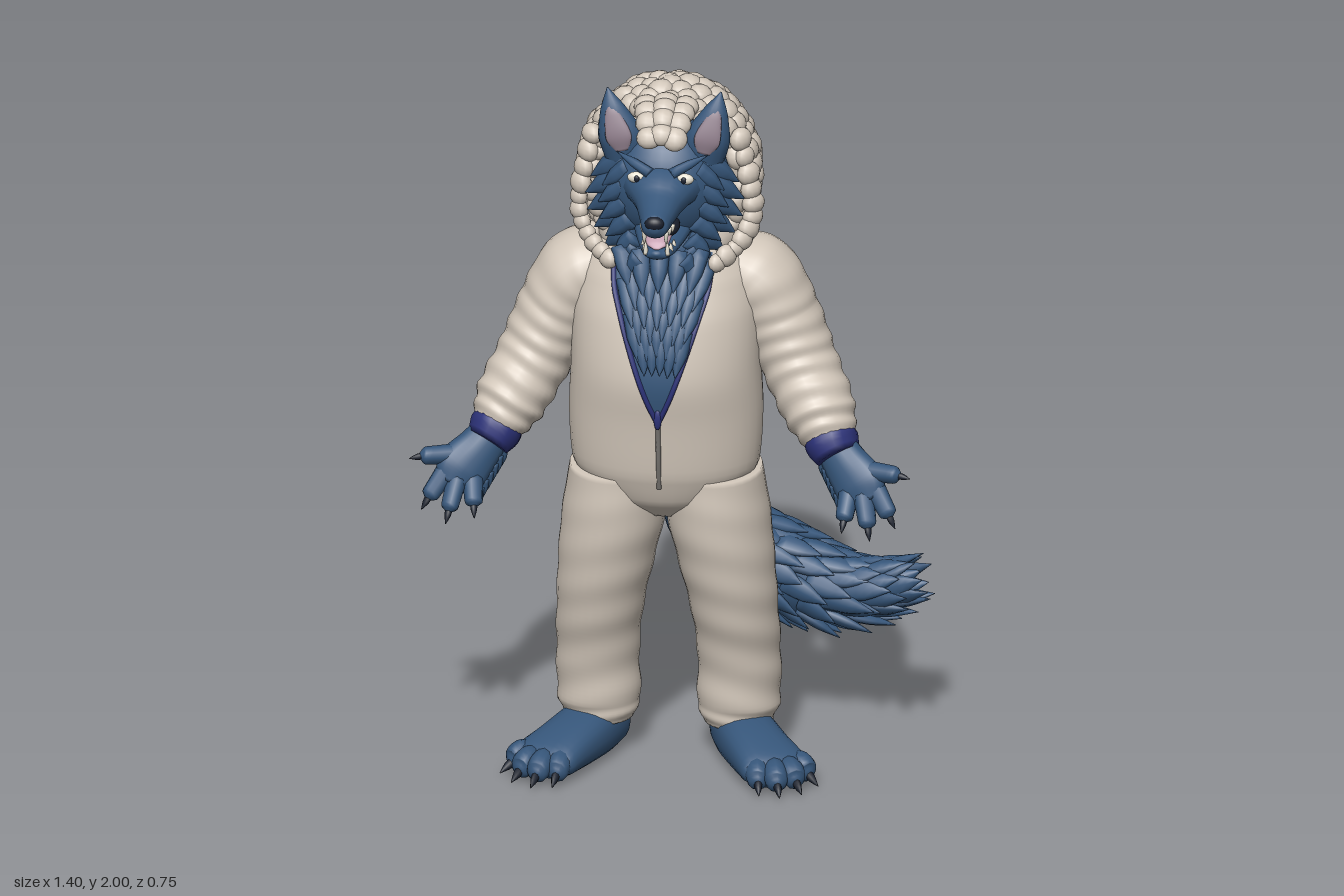
import * as THREE from 'three';
import { mergeGeometries } from 'three/addons/utils/BufferGeometryUtils.js';

const V = (x, y, z) => new THREE.Vector3(x, y, z);
const mat = (name, color) => {
  const m = new THREE.MeshStandardMaterial({ color });
  m.name = name;
  return m;
};
let seed = 7;
const rnd = () => (seed = (seed * 16807) % 2147483647) / 2147483647;

// Frame on a curve: u follows ref, v completes it
function frame(curve, t, ref, level) {
  const p = curve.getPoint(t);
  const d = level ? V(0, 1, 0) : curve.getTangent(t);
  const u = ref.clone().addScaledVector(d, -ref.dot(d)).normalize();
  return { p, u, v: d.clone().cross(u), d };
}
const superAng = (c, n) => Math.sign(c) * Math.abs(c) ** (2 / n);

// Skin an elliptical section along a smooth path; radii are [along ref, across]
function sweep(pts, radii, o = {}) {
  const { ref = V(0, 0, 1), sides = 16, steps = 20, level = false, n = 2, fold = () => 1 } = o;
  const path = new THREE.CatmullRomCurve3(pts);
  const rad = new THREE.CatmullRomCurve3(radii.map(r => V(r[0], r[1], 0)));
  const pos = [], idx = [];
  for (let i = 0; i <= steps; i++) {
    const t = i / steps, f = frame(path, t, ref, level), r = rad.getPoint(t);
    for (let j = 0; j < sides; j++) {
      const a = (j / sides) * Math.PI * 2, k = fold(t, a);
      const q = f.p.clone().addScaledVector(f.u, superAng(Math.cos(a), n) * r.x * k)
        .addScaledVector(f.v, superAng(Math.sin(a), n) * r.y * k);
      pos.push(q.x, Math.max(q.y, 0), q.z);
      if (i < steps) {
        const A = i * sides + j, B = i * sides + (j + 1) % sides;
        idx.push(A, B, A + sides, B, B + sides, A + sides);
      }
    }
  }
  const c0 = pos.length / 3, last = steps * sides;
  for (const p of [path.getPoint(0), path.getPoint(1)]) pos.push(p.x, p.y, p.z);
  for (let j = 0; j < sides; j++) {
    const k = (j + 1) % sides;
    idx.push(c0, k, j, c0 + 1, last + j, last + k);
  }
  const g = new THREE.BufferGeometry();
  g.setAttribute('position', new THREE.Float32BufferAttribute(pos, 3));
  g.setIndex(idx);
  g.computeVertexNormals();
  return g;
}
const spike = (a, b, thin, wide, ref = V(0, 0, 1)) => sweep([a, a.clone().lerp(b, 0.5), b],
  [[thin, wide], [thin * 0.85, wide * 0.8], [0.001, 0.001]], { ref, sides: 8, steps: 6 });
const ball = (p, rx, ry, rz, w = 20, h = 14) =>
  new THREE.SphereGeometry(1, w, h).deleteAttribute('uv').scale(rx, ry, rz).translate(p.x, p.y, p.z);

// Torso sections: y, half width, centre z, half depth
const TORSO = [[0.75, 0.1, 0.05, 0.09], [0.81, 0.2, 0.055, 0.155], [0.9, 0.258, 0.06, 0.185],
  [1.05, 0.268, 0.055, 0.208], [1.2, 0.262, 0.055, 0.224], [1.35, 0.262, 0.03, 0.218],
  [1.45, 0.25, 0.0, 0.203], [1.52, 0.21, -0.015, 0.18], [1.58, 0.12, 0, 0.12]];
const torsoPath = new THREE.CatmullRomCurve3(TORSO.map(s => V(0, s[0], s[2])));
const torsoRad = new THREE.CatmullRomCurve3(TORSO.map(s => V(s[1], s[3], 0)));
function onTorso(x, y, lift = 0) {
  let lo = 0, hi = 1;
  for (let i = 0; i < 24; i++) {
    const m = (lo + hi) / 2;
    if (torsoPath.getPoint(m).y < y) lo = m; else hi = m;
  }
  const p = torsoPath.getPoint(lo), r = torsoRad.getPoint(lo);
  return V(x, y, p.z + r.y * Math.sqrt(Math.max(0, 1 - (x / r.x) ** 2)) + lift);
}
const neckWidth = y => 0.135 * Math.min(1, Math.max(0, (y - 1.08) / 0.38)) ** 0.85;

export function createModel() {
  const M = {
    suit: mat('cream suit', 0xd3c8bb), fur: mat('blue fur', 0x36567a),
    trim: mat('navy trim', 0x2c3278), dark: mat('dark claw', 0x1b212e),
    ear: mat('inner ear', 0x8f7e8b), tongue: mat('tongue pink', 0xc49fb0),
    ivory: mat('ivory', 0xe6e0d0), zip: mat('zip grey', 0x7b7874),
  };
  const root = new THREE.Group(), body = new THREE.Group();
  root.name = 'hoodedWolf';
  body.name = 'body';
  body.position.x = -0.025;
  root.add(body);
  const add = (name, geo, m) => {
    const mesh = new THREE.Mesh(Array.isArray(geo) ? mergeGeometries(geo) : geo, m);
    mesh.name = name;
    body.add(mesh);
  };

  // Suit torso
  add('torso', sweep(TORSO.map(s => V(0, s[0], s[2])), TORSO.map(s => [s[1], s[3]]),
    { ref: V(1, 0, 0), level: true, sides: 40, steps: 48 }), M.suit);

  // Open neckline fur, following the chest
  const pos = [], idx = [], R = 16, C = 8;
  for (let i = 0; i <= R; i++) for (let j = 0; j <= C; j++) {
    const y = 1.08 + 0.45 * i / R, p = onTorso(neckWidth(y) * (j / C * 2 - 1), y, 0.005);
    pos.push(p.x, p.y, p.z);
    if (i < R && j < C) {
      const a = i * (C + 1) + j, b = a + C + 1;
      idx.push(a, a + 1, b, a + 1, b + 1, b);
    }
  }
  const chest = new THREE.BufferGeometry();
  chest.setAttribute('position', new THREE.Float32BufferAttribute(pos, 3));
  chest.setIndex(idx);
  chest.computeVertexNormals();
  add('chestFur', chest, M.fur);
  const tufts = [ball(V(0, 1.53, 0.07), 0.135, 0.11, 0.105)];
  for (let r = 0; r < 6; r++) for (let k = -2; k <= 2; k++) {
    const y = 1.55 - r * 0.042, w = (neckWidth(y - 0.07) - 0.01) / 2.3;
    const x = (k + (r % 2 ? 0.35 : -0.1)) * w;
    const a = onTorso(x, Math.min(y, 1.5)), b = onTorso(x * 0.75, y - 0.1 - 0.02 * rnd(), 0.022);
    a.y = y;
    tufts.push(spike(a, b, 0.018, 0.03));
  }
  add('chestTufts', tufts, M.fur);

  // Neckline trim and zip
  for (const s of [1, -1]) {
    const line = [];
    for (let y = 1.09; y < 1.5; y += 0.05) line.push(onTorso(s * neckWidth(y), y, 0.004));
    add('necklineTrim', new THREE.TubeGeometry(new THREE.CatmullRomCurve3(line), 24, 0.008, 6), M.trim);
  }
  const zipLine = [0.87, 0.95, 1.03, 1.1].map(y => onTorso(0, y));
  add('zip', new THREE.TubeGeometry(new THREE.CatmullRomCurve3(zipLine), 16, 0.007, 6), M.zip);
  add('zipPull', ball(onTorso(0, 1.09, 0.008), 0.011, 0.03, 0.008, 10, 8), M.trim);

  for (const s of [1, -1]) {
    const side = s > 0 ? 'left' : 'right', P = (x, y, z) => V(s * x, y, z);

    // Sleeve, gathered toward the wrist
    add(side + 'Sleeve', sweep([P(0.15, 1.47, -0.02), P(0.245, 1.41, -0.02), P(0.31, 1.29, -0.015),
      P(0.365, 1.17, 0.015), P(0.425, 1.06, 0.075), P(0.465, 0.985, 0.12)],
    [[0.1, 0.07], [0.135, 0.115], [0.13, 0.112], [0.12, 0.105], [0.108, 0.1], [0.078, 0.07]],
    { sides: 28, steps: 70, fold: (t, a) => 1 + 0.05 * t * Math.sin(t * 62 + Math.sin(a * 2 + s)) }), M.suit);
    add(side + 'Cuff', sweep([P(0.457, 0.998, 0.11), P(0.465, 0.982, 0.12), P(0.485, 0.95, 0.14)],
      [[0.08, 0.072], [0.083, 0.075], [0.07, 0.062]], { steps: 6 }), M.trim);

    // Hand, thumb and fingers
    const hand = [sweep([P(0.465, 0.985, 0.12), P(0.505, 0.935, 0.15), P(0.55, 0.885, 0.185), P(0.575, 0.845, 0.21)],
      [[0.055, 0.045], [0.065, 0.045], [0.077, 0.04], [0.05, 0.025]], { ref: P(0.7, 0.7, 0) })];
    const claws = [];
    const digits = [[0.56, 0.925, 0.175, 0.665, 0.93, 0.215], [0.59, 0.885, 0.195, 0.64, 0.815, 0.245],
      [0.56, 0.87, 0.2, 0.58, 0.785, 0.26], [0.52, 0.865, 0.19, 0.51, 0.8, 0.25]];
    for (const d of digits) {
      const a = P(d[0], d[1], d[2]), b = P(d[3], d[4], d[5]), dir = b.clone().sub(a).normalize();
      hand.push(sweep([a, a.clone().lerp(b, 0.5), a.clone().lerp(b, 0.85), b],
        [[0.028, 0.03], [0.025, 0.027], [0.023, 0.025], [0.006, 0.006]], { sides: 10, steps: 10 }));
      claws.push(spike(b.clone().addScaledVector(dir, -0.015), b.clone().addScaledVector(dir, 0.028).add(V(0, -0.006, 0)), 0.011, 0.011));
    }
    for (let k = 0; k < 6; k++) {
      const a = P(0.49 + 0.012 * k, 0.98 - 0.025 * k, 0.12 + 0.01 * k);
      hand.push(spike(a, a.clone().add(P(0.05, -0.03, -0.012)), 0.018, 0.02));
      const b = P(0.445 + 0.012 * k, 0.935 - 0.02 * k, 0.14 + 0.01 * k);
      hand.push(spike(b, b.clone().add(P(0, -0.055, 0)), 0.014, 0.018));
    }
    add(side + 'Hand', hand, M.fur);
    add(side + 'HandClaws', claws, M.dark);

    // Trouser leg
    add(side + 'Leg', sweep([P(0.19, 0.1, -0.01), P(0.193, 0.16, -0.015), P(0.195, 0.3, -0.005), P(0.185, 0.45, 0.025),
      P(0.165, 0.6, 0.045), P(0.143, 0.75, 0.05), P(0.135, 0.88, 0.055)],
    [[0.095, 0.095], [0.115, 0.115], [0.115, 0.12], [0.121, 0.134], [0.134, 0.15], [0.143, 0.166], [0.13, 0.16]],
    { ref: V(1, 0, 0), level: true, sides: 30, steps: 60,
      fold: (t, a) => 1 + 0.025 * (1.1 - t) * Math.sin(t * 45 + 2 * Math.sin(a + s)) }), M.suit);

    // Foot, toes and claws
    const foot = [sweep([P(0.165, 0.05, -0.11), P(0.18, 0.065, -0.06), P(0.215, 0.07, 0.03), P(0.265, 0.062, 0.13),
      P(0.315, 0.048, 0.21), P(0.335, 0.035, 0.25)],
    [[0.025, 0.03], [0.065, 0.075], [0.075, 0.085], [0.065, 0.09], [0.048, 0.098], [0.03, 0.08]],
    { ref: V(0, 1, 0), n: 2.4, sides: 24 })];
    const toeClaws = [];
    for (const [ax, az, bx, bz] of [[0.265, 0.2, 0.28, 0.295], [0.31, 0.21, 0.335, 0.305], [0.345, 0.2, 0.385, 0.275], [0.36, 0.16, 0.415, 0.215]]) {
      const a = P(ax, 0.048, az), b = P(bx, 0.035, bz), dir = b.clone().sub(a).normalize();
      foot.push(sweep([a, a.clone().lerp(b, 0.5).setY(0.05), a.clone().lerp(b, 0.85), b],
        [[0.035, 0.03], [0.038, 0.035], [0.032, 0.03], [0.01, 0.01]], { ref: V(0, 1, 0), sides: 12, steps: 10 }));
      toeClaws.push(spike(b.clone().addScaledVector(dir, -0.02), b.clone().addScaledVector(dir, 0.035).setY(0.01), 0.014, 0.013, V(0, 1, 0)));
    }
    add(side + 'Foot', foot, M.fur);
    add(side + 'FootClaws', toeClaws, M.dark);

    // Ear with pale lining
    add(side + 'Ear', sweep([P(0.105, 1.8, 0.1), P(0.12, 1.86, 0.11), P(0.142, 1.94, 0.11), P(0.157, 2.0, 0.105)],
      [[0.06, 0.04], [0.062, 0.038], [0.036, 0.022], [0.002, 0.002]], { ref: V(1, 0, 0) }), M.fur);
    add(side + 'EarLining', sweep([P(0.112, 1.83, 0.14), P(0.122, 1.87, 0.143), P(0.14, 1.93, 0.13), P(0.15, 1.97, 0.118)],
      [[0.02, 0.006], [0.036, 0.007], [0.022, 0.006], [0.002, 0.001]], { ref: V(1, 0, 0) }), M.ear);

    // Eye, brow and cheek tufts
    add(side + 'Eye', ball(P(0.067, 1.775, 0.198), 0.025, 0.016, 0.014, 14, 10), M.ivory);
    add(side + 'Pupil', ball(P(0.065, 1.775, 0.21), 0.008, 0.01, 0.005, 10, 8), M.dark);
    const face = [spike(P(0.03, 1.79, 0.2), P(0.125, 1.83, 0.15), 0.018, 0.016)];
    for (const [y, x, z] of [[1.76, 0.205, 0.1], [1.71, 0.22, 0.1], [1.66, 0.215, 0.1], [1.61, 0.195, 0.1], [1.56, 0.165, 0.11], [1.51, 0.125, 0.14]]) {
      face.push(spike(P(x * 0.5, y + 0.04, z + 0.015), P(x, y - 0.03, z - 0.01), 0.03, 0.04));
      face.push(spike(P(x * 0.45, y + 0.02, z + 0.04), P(x * 0.82, y - 0.04, z + 0.03), 0.025, 0.032));
    }
    add(side + 'CheekFur', face, M.fur);
  }

  // Head, muzzle and jaw
  add('head', [ball(V(0, 1.72, 0.045), 0.175, 0.185, 0.155, 32, 22),
    sweep([V(0, 1.735, 0.1), V(0, 1.73, 0.18), V(0, 1.71, 0.24), V(0, 1.695, 0.31), V(0, 1.69, 0.35), V(0, 1.69, 0.368)],
      [[0.135, 0.085], [0.1, 0.068], [0.064, 0.053], [0.045, 0.04], [0.036, 0.033], [0.01, 0.01]], { ref: V(1, 0, 0) })], M.fur);
  add('jaw', sweep([V(0, 1.615, 0.1), V(0, 1.597, 0.18), V(0, 1.587, 0.26), V(0, 1.592, 0.3), V(0, 1.6, 0.315)],
    [[0.09, 0.05], [0.07, 0.034], [0.047, 0.022], [0.033, 0.016], [0.008, 0.006]], { ref: V(1, 0, 0) }), M.fur);
  add('mouthLining', ball(V(0, 1.637, 0.2), 0.054, 0.03, 0.07), M.dark);
  add('tongue', sweep([V(0, 1.635, 0.19), V(0, 1.625, 0.25), V(0, 1.614, 0.285), V(0, 1.607, 0.303)],
    [[0.04, 0.02], [0.036, 0.016], [0.03, 0.01], [0.008, 0.003]], { ref: V(1, 0, 0) }), M.tongue);
  add('nose', ball(V(0, 1.703, 0.354), 0.027, 0.02, 0.018), M.dark);
  const teeth = [];
  for (const s of [1, -1]) for (const [x, z, h] of [[0.03, 0.335, 0.035], [0.036, 0.305, 0.018], [0.042, 0.28, 0.018]]) {
    teeth.push(spike(V(s * x, 1.672, z), V(s * x, 1.668 - h, z), 0.008, 0.007));
    teeth.push(spike(V(s * x, 1.59, z - 0.035), V(s * x, 1.6 + h * 0.85, z - 0.035), 0.007, 0.007));
  }
  add('teeth', teeth, M.ivory);

  // Woolly hood: a shell covered in rows of curls
  const wool = [ball(V(0, 1.71, -0.075), 0.235, 0.25, 0.165, 32, 22),
    sweep([V(0, 1.5, -0.02), V(0, 1.54, -0.02), V(0, 1.6, -0.05)], [[0.18, 0.16], [0.2, 0.17], [0.21, 0.16]],
      { ref: V(1, 0, 0), level: true, steps: 6, sides: 28 })];
  const curl = (p, n, r) => {
    const g = ball(V(0, 0, 0), r, r * (0.8 + 0.2 * rnd()), r * 0.75, 12, 8);
    g.applyQuaternion(new THREE.Quaternion().setFromUnitVectors(V(0, 0, 1), n.normalize()));
    wool.push(g.translate(p.x, p.y, p.z));
  };
  for (let r = 0; r < 15; r++) {
    const phi = 0.06 + r * 0.172, count = Math.max(1, Math.round(27 * Math.sin(phi)));
    for (let k = 0; k < count; k++) {
      const a = (k + (r % 2) / 2 + 0.3 * rnd()) / count * Math.PI * 2;
      const n = V(Math.sin(phi) * Math.sin(a), Math.cos(phi), Math.sin(phi) * Math.cos(a));
      const p = V(n.x * 0.232, 1.71 + n.y * 0.248, -0.05 + n.z * 0.195);
      if (p.y > 1.52 && p.z < 0.055) curl(p, n, 0.031 + 0.012 * rnd());
    }
  }
  for (let i = 0; i < 4; i++) for (const x of [-0.05, 0, 0.05])
    curl(V(x * (1.1 - i * 0.13), 1.945 - i * i * 0.006 - Math.abs(x) * 0.2, 0.06 + i * 0.036), V(x * 4, 1, 0.3 + i * 0.3), 0.036);
  const rim = new THREE.CatmullRomCurve3([V(0.205, 1.84, 0.05), V(0.232, 1.72, 0.06), V(0.24, 1.62, 0.065),
    V(0.205, 1.55, 0.1), V(0.15, 1.51, 0.145)]);
  for (const s of [1, -1]) for (let i = 0; i <= 10; i++) {
    const p = rim.getPoint(i / 10);
    curl(V(s * p.x, p.y, p.z), V(s, 0, 0.8), 0.029 + 0.008 * rnd());
  }
  for (let i = 0; i < 22; i++) {
    const a = Math.PI * (0.42 + 1.16 * i / 21);
    curl(V(0.215 * Math.sin(a), 1.535, -0.03 + 0.185 * Math.cos(a)), V(Math.sin(a), -0.1, Math.cos(a)), 0.035);
  }
  add('woolHood', wool, M.suit);

  // Bushy tail with overlapping locks
  const tailPts = [V(0.02, 0.86, -0.09), V(0.03, 0.78, -0.19), V(0.06, 0.66, -0.245), V(0.14, 0.54, -0.26),
    V(0.28, 0.46, -0.25), V(0.43, 0.41, -0.235), V(0.56, 0.425, -0.215), V(0.67, 0.48, -0.2)];
  const tailRad = [[0.05, 0.05], [0.08, 0.085], [0.095, 0.11], [0.1, 0.13], [0.095, 0.125], [0.08, 0.095], [0.05, 0.06], [0.004, 0.004]];
  const tail = [sweep(tailPts, tailRad, { sides: 20, steps: 36 })];
  const path = new THREE.CatmullRomCurve3(tailPts), rad = new THREE.CatmullRomCurve3(tailRad.map(r => V(r[0], r[1], 0)));
  for (let i = 0; i < 12; i++) for (let k = 0; k < 9; k++) {
    const t = 0.28 + i * 0.053, a = (k + (i % 2) / 2 + 0.3 * rnd()) / 9 * Math.PI * 2;
    const f = frame(path, t, V(0, 0, 1)), r = rad.getPoint(t);
    const out = f.u.clone().multiplyScalar(Math.cos(a) * r.x).addScaledVector(f.v, Math.sin(a) * r.y);
    const base = f.p.clone().addScaledVector(out, 0.86);
    const tip = f.p.clone().addScaledVector(out, 1.12).addScaledVector(f.d, 0.11 + 0.04 * rnd());
    tip.x = Math.min(tip.x, 0.712);
    tail.push(spike(base, tip, 0.018, 0.036, out.clone().normalize()));
  }
  add('tail', tail, M.fur);
  return root;
}
